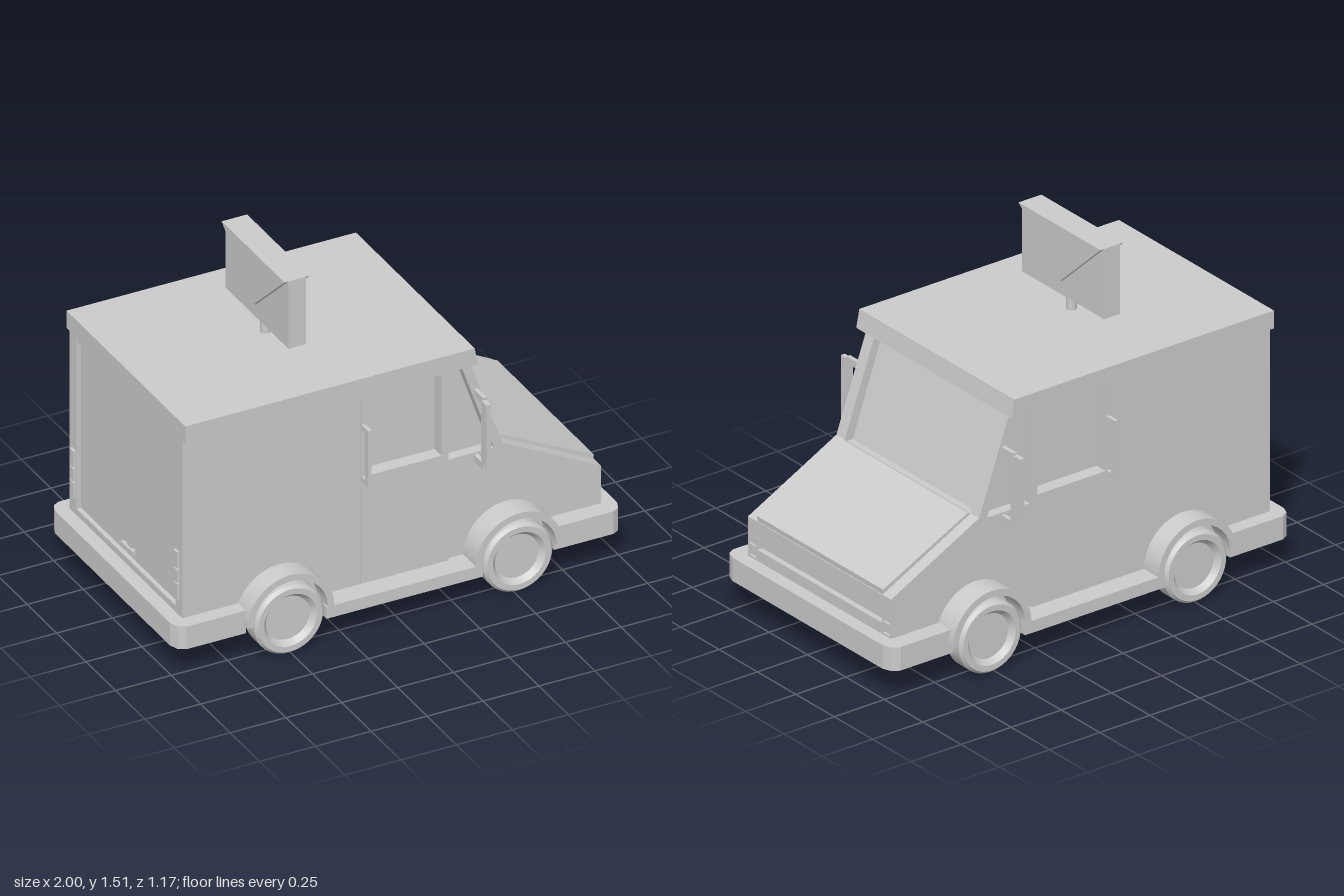
import * as THREE from 'three';
import { toCreasedNormals } from 'three/addons/utils/BufferGeometryUtils.js';

const material = new THREE.MeshStandardMaterial({ color: 0xcccccc });

export function createModel() {
  const model = new THREE.Group();

  const add = (name, geometry) => {
    const mesh = new THREE.Mesh(geometry, material);
    mesh.name = name;
    model.add(mesh);
    return mesh;
  };
  const outline = (pts) => new THREE.Shape(pts.map(([x, y]) => new THREE.Vector2(x, y)));
  // Side profile (x, y) carried from z0 to z1
  const prism = (name, shape, z0, z1) => {
    const geometry = new THREE.ExtrudeGeometry(Array.isArray(shape) ? outline(shape) : shape,
      { depth: Math.abs(z1 - z0), bevelEnabled: false, curveSegments: 24 });
    geometry.translate(0, 0, Math.min(z0, z1));
    return add(name, toCreasedNormals(geometry, 0.3));
  };
  // Box given by its limits on each axis
  const box = (name, x0, x1, y0, y1, z0, z1) => {
    const geometry = new THREE.BoxGeometry(x1 - x0, y1 - y0, Math.abs(z1 - z0));
    geometry.translate((x0 + x1) / 2, (y0 + y1) / 2, (z0 + z1) / 2);
    return add(name, geometry);
  };

  // Inner body: recessed windscreen, grille and rear door
  prism('bodyCore', [[-0.92, 0.16], [0.915, 0.16], [0.915, 0.41], [0.5, 0.627],
    [0.46, 0.627], [0.31, 1.056], [-0.92, 1.056]], -0.42, 0.42);
  prism('roof', [[-0.94, 1.055], [0.37, 1.055], [0.355, 1.134], [-0.94, 1.134]], -0.505, 0.505);
  prism('hood', [[0.51, 0.61], [0.935, 0.4], [0.938, 0.432], [0.515, 0.643], [0.5, 0.637]], -0.41, 0.41);

  // Front face with grille opening and lamp pockets
  const rect = (z0, z1, y0, y1) => [[z0, y0], [z1, y0], [z1, y1], [z0, y1]];
  const face = outline(rect(-0.465, 0.465, 0.16, 0.41));
  const openings = [rect(-0.405, 0.405, 0.285, 0.365)];
  for (const z of [-0.4355, 0.4355])
    for (const [y0, y1] of [[0.295, 0.355], [0.245, 0.28]])
      openings.push(rect(z - 0.0225, z + 0.0225, y0, y1));
  face.holes = openings.map(outline);
  const faceGeometry = new THREE.ExtrudeGeometry(face, { depth: 0.04, bevelEnabled: false });
  faceGeometry.rotateY(Math.PI / 2).translate(0.9, 0, 0);
  add('frontFace', faceGeometry);

  // Rear door trim
  box('rearSill', -0.94, -0.9, 0.17, 0.265, -0.48, 0.48);
  box('rearDoorHeader', -0.935, -0.9, 1.03, 1.056, -0.42, 0.42);
  box('rearDoorHandle', -0.938, -0.928, 0.3, 0.313, -0.05, 0.05);
  for (const z of [-0.035, 0.035]) box('rearHandleMount', -0.93, -0.915, 0.29, 0.313, z - 0.01, z + 0.01);

  // Raised underside, and step between the wheels
  box('floor', -0.938, 0.938, 0.15, 0.2, -0.463, 0.463);
  box('step', -0.345, 0.355, 0.118, 0.172, -0.575, 0.575);

  // Bumpers wrapping around both ends, with cut outer corners
  for (const e of [-1, 1]) {
    const plan = outline([[0.69, -0.545], [0.955, -0.545], [0.985, -0.528], [1, -0.49],
      [1, 0.49], [0.985, 0.528], [0.955, 0.545], [0.69, 0.545],
      [0.69, 0.46], [0.935, 0.46], [0.935, -0.46], [0.69, -0.46]].map(([x, z]) => [x * e, z]));
    const geometry = new THREE.ExtrudeGeometry(plan, { depth: 0.104, bevelEnabled: false });
    geometry.rotateX(-Math.PI / 2).translate(0, 0.132, 0);
    add(e > 0 ? 'frontBumper' : 'rearBumper', geometry);
  }

  // Tyre with a dished hub
  const wheelProfile = [[0, 0.467], [0.14, 0.467], [0.155, 0.482], [0.155, 0.56],
    [0.143, 0.574], [0.118, 0.574], [0.098, 0.55], [0, 0.55]]
    .map(([r, y]) => new THREE.Vector2(r, y));

  for (const s of [-1, 1]) {
    // Cargo wall and sliding door with open window frame
    prism('cargoSide', [[-0.94, 0.17], [-0.145, 0.17], [-0.145, 1.056], [-0.94, 1.056]], s * 0.42, s * 0.48);
    prism('door', [[-0.142, 0.17], [0.25, 0.17], [0.25, 1.056], [0.22, 1.056], [0.22, 0.663],
      [-0.12, 0.663], [-0.12, 1.056], [-0.142, 1.056]], s * 0.41, s * 0.48);
    // Front wing, with quarter window and windscreen pillar
    prism('frontWing', [[0.25, 0.17], [0.9, 0.17], [0.9, 0.41], [0.94, 0.41], [0.5, 0.637], [0.35, 1.056],
      [0.31, 1.056], [0.46, 0.627], [0.25, 0.627]], s * 0.41, s * 0.465);
    // Lamps
    box('headlight', 0.9, 0.93, 0.295, 0.355, s * 0.413, s * 0.458);
    box('frontIndicator', 0.9, 0.93, 0.245, 0.28, s * 0.413, s * 0.458);
    for (const [y0, y1] of [[0.31, 0.385], [0.39, 0.45], [0.455, 0.53]])
      box('tailLight', -0.952, -0.93, y0, y1, s * 0.425, s * 0.457);

    // Door grab handle
    box('doorHandle', -0.138, -0.123, 0.64, 0.905, s * 0.51, s * 0.535);
    for (const y of [0.64, 0.88]) box('doorHandleArm', -0.138, -0.123, y, y + 0.025, s * 0.47, s * 0.52);

    // Wing mirror on its bracket
    box('mirror', 0.366, 0.386, 0.62, 0.908, s * 0.54, s * 0.584);
    box('mirrorBracket', 0.372, 0.39, 0.587, 0.92, s * 0.525, s * 0.542);
    for (const y of [0.587, 0.89]) box('mirrorArm', 0.372, 0.39, y, y + 0.03, s * 0.455, s * 0.535);

    // Wheels and arches
    for (const x of [-0.505, 0.519]) {
      const arch = new THREE.Shape();
      arch.absarc(x, 0.17, 0.195, 0, Math.PI, false);
      arch.absarc(x, 0.17, 0.166, Math.PI, 0, true);
      prism('wheelArch', arch, s * 0.46, s * 0.575);
      const geometry = new THREE.LatheGeometry(wheelProfile, 40);
      geometry.rotateX(s * Math.PI / 2).translate(x, 0.155, 0);
      add('wheel', toCreasedNormals(geometry, 0.6));
    }
  }

  // Rooftop envelope sign with a raised flap on each face
  const post = new THREE.CylinderGeometry(0.022, 0.022, 0.09, 20);
  post.translate(-0.316, 1.17, 0);
  add('signPost', post);
  box('signEnvelope', -0.353, -0.275, 1.203, 1.514, -0.267, 0.267);
  for (const s of [-1, 1]) {
    const flap = new THREE.ExtrudeGeometry(outline([[-0.267, 1.514], [0, 1.27], [0.267, 1.514]]),
      { depth: 0.02, bevelEnabled: false });
    flap.rotateY(s * Math.PI / 2).translate(-0.314 + s * 0.037, 0, 0);
    add('signFlap', flap);
  }
  return model;
}
